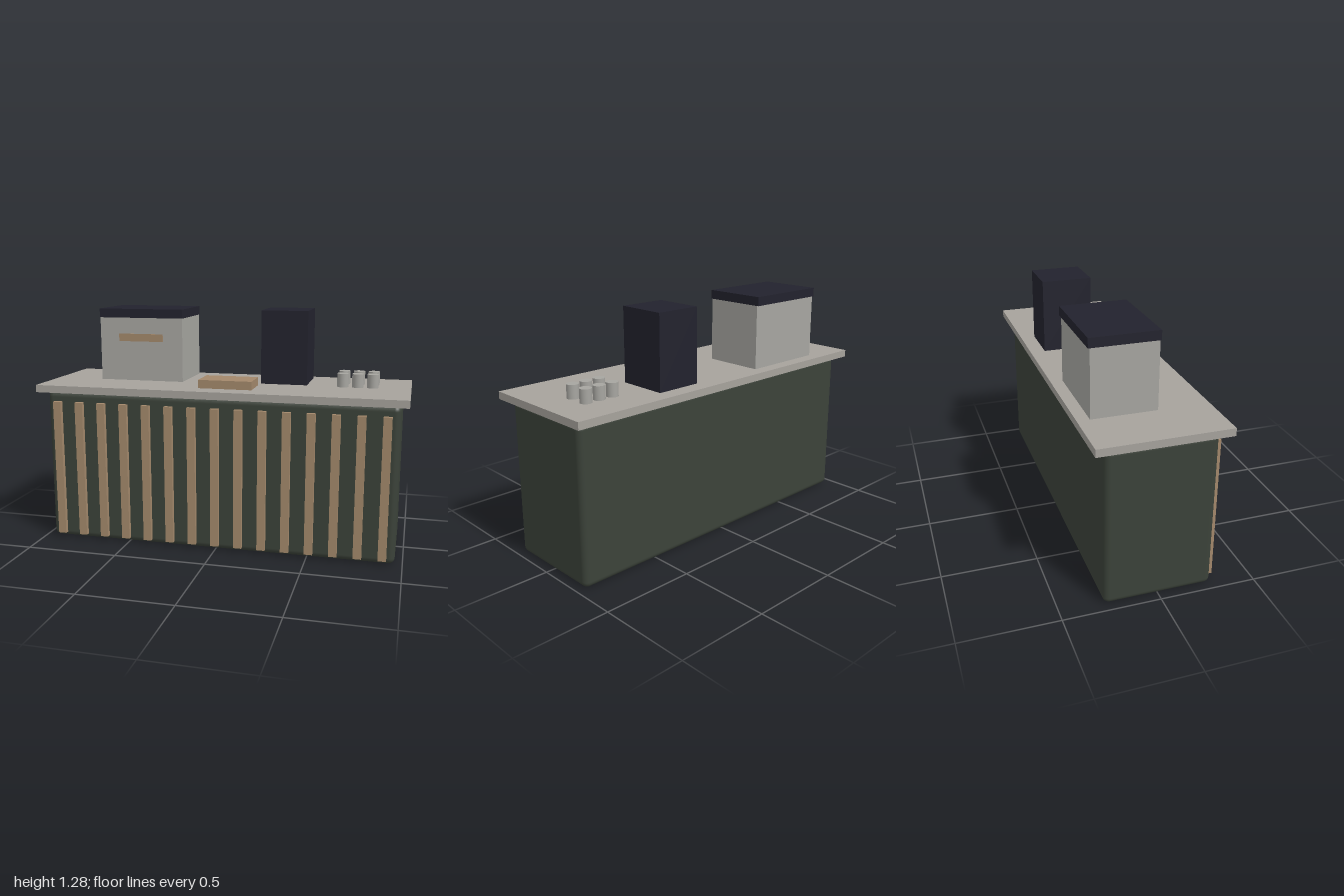
import * as THREE from 'three';
import { RoundedBoxGeometry } from 'three/addons/geometries/RoundedBoxGeometry.js';

function material(name, color) {
  const m = new THREE.MeshStandardMaterial({ color });
  m.name = name;
  return m;
}

export function createModel() {
  const model = new THREE.Group();
  model.name = 'coffeeCounter';

  const green = material('dark green paint', 0x3b4239);
  const wood = material('wood', 0xa3886b);
  const stone = material('grey stone', 0xa6a29c);
  const steel = material('brushed steel', 0xa6a5a0);
  const dark = material('dark navy', 0x22222d);

  const add = (name, geometry, mat, x, y, z, parent = model) => {
    const mesh = new THREE.Mesh(geometry, mat);
    mesh.name = name;
    mesh.position.set(x, y, z);
    parent.add(mesh);
    return mesh;
  };
  // Box given by its limits on each axis
  const box = (name, mat, [x0, x1], [y0, y1], [z0, z1], parent) =>
    add(name, new THREE.BoxGeometry(x1 - x0, y1 - y0, z1 - z0), mat,
      (x0 + x1) / 2, (y0 + y1) / 2, (z0 + z1) / 2, parent);

  // Cabinet with softened edges, and its overhanging worktop
  add('cabinet', new RoundedBoxGeometry(1.92, 0.84, 0.56, 4, 0.032), green, 0, 0.42, 0);
  box('worktop', stone, [-1, 1], [0.84, 0.88], [-0.335, 0.335]);

  // Vertical slats across the front
  const slats = new THREE.Group();
  slats.name = 'slats';
  model.add(slats);
  for (let i = -7; i <= 7; i++) {
    const x = i * 0.128;
    box('slat', wood, [x - 0.022, x + 0.022], [0.025, 0.785], [0.27, 0.305], slats);
  }

  // Coffee machine: body, lid and front handle
  const machine = new THREE.Group();
  machine.name = 'coffeeMachine';
  model.add(machine);
  box('machineBody', steel, [-0.722, -0.242], [0.884, 1.235], [-0.273, 0.064], machine);
  box('machineLid', dark, [-0.723, -0.241], [1.235, 1.284], [-0.282, 0.07], machine);
  box('machineHandle', wood, [-0.611, -0.355], [1.104, 1.146], [0.05, 0.069], machine);

  // Grinder and serving board
  box('grinder', dark, [0.193, 0.447], [0.884, 1.284], [-0.257, 0.016]);
  box('servingBoard', wood, [-0.107, 0.184], [0.88, 0.925], [0.05, 0.224]);

  // Two rows of three cups
  const cups = new THREE.Group();
  cups.name = 'cups';
  model.add(cups);
  const cup = new THREE.CylinderGeometry(0.031, 0.031, 0.073, 24);
  for (const x of [0.638, 0.718, 0.798]) {
    for (const z of [-0.015, -0.12]) add('cup', cup, steel, x, 0.9165, z, cups);
  }

  return model;
}
